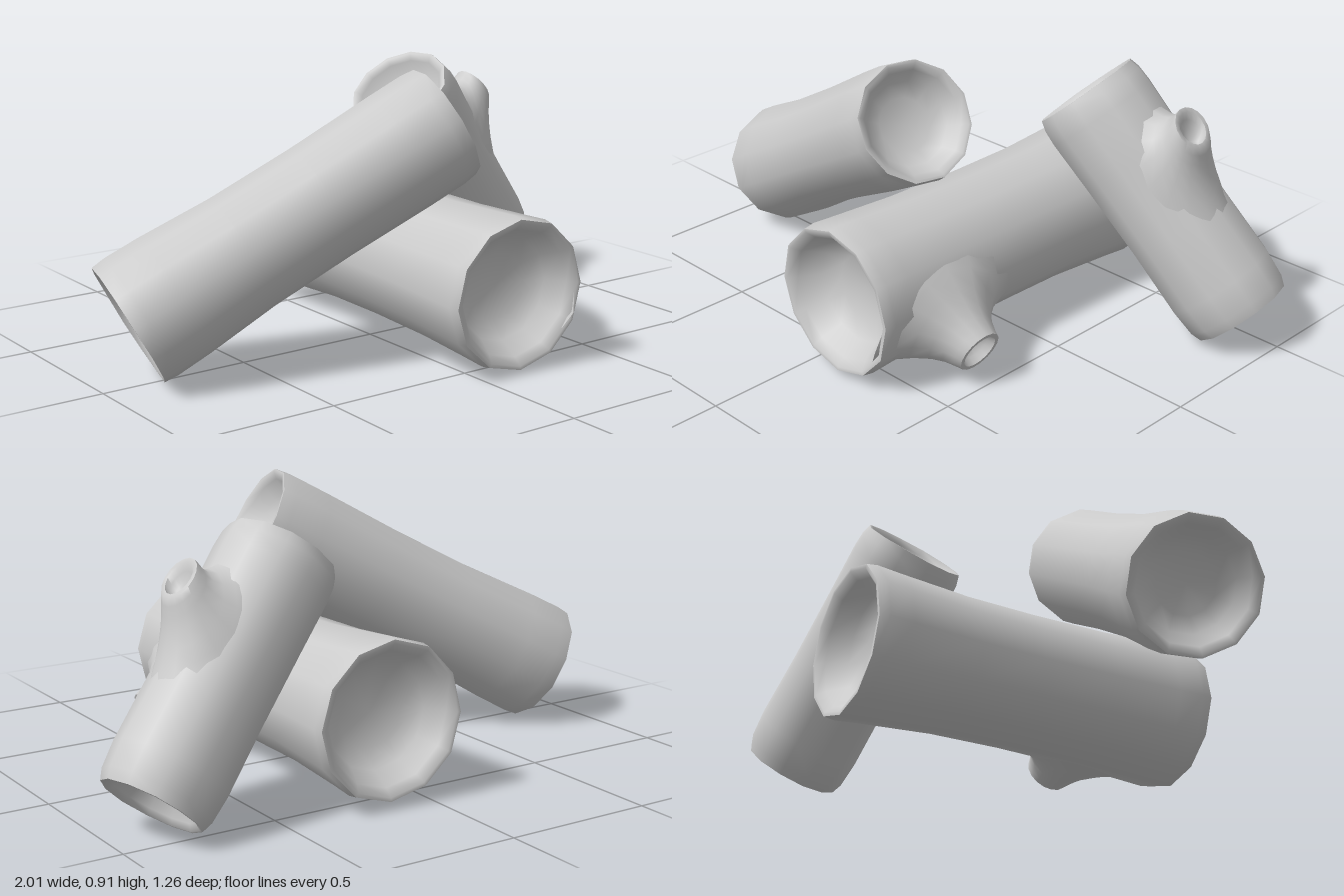
import * as THREE from 'three';
import { toCreasedNormals } from 'three/addons/utils/BufferGeometryUtils.js';

const SIDES = 12;
const V = (x, y, z) => new THREE.Vector3(x, y, z);
const material = new THREE.MeshStandardMaterial({ color: 0xcccccc, side: THREE.DoubleSide });

// Lathe whose vertices are moved by a rule, with smooth bark and crisp rims
function shapedLathe(name, profile, sides, rule) {
  const geometry = new THREE.LatheGeometry(profile.map(([r, y]) => new THREE.Vector2(r, y)), sides);
  const p = geometry.attributes.position;
  for (let i = 0; i < p.count; i++) p.setXYZ(i, ...rule(p.getX(i), p.getY(i), p.getZ(i)));
  const mesh = new THREE.Mesh(toCreasedNormals(geometry, 1), material);
  mesh.name = name;
  return mesh;
}

// Profile of a hollowed end: floor centre out to the rim, as [radius, depth]
function dish(radius, depth) {
  return [[0, depth], [radius * 0.45, depth * 0.95], [radius * 0.7, depth * 0.7],
    [radius * 0.85, depth * 0.2], [radius * 0.95, 0]];
}

// Log from a to b with hollowed ends. radii holds [fraction along, radius]
function trunk(name, a, b, radii, startDepth, endDepth, wobble, seed) {
  const axis = b.clone().sub(a);
  const length = axis.length();
  const profile = [
    ...dish(radii[0][1], startDepth),
    ...radii.map(([t, r]) => [r, t * length]),
    ...dish(radii[radii.length - 1][1], endDepth).reverse().map(([r, d]) => [r, length - d]),
  ];
  // Gentle bumps around the bark and slightly uneven cuts
  const mesh = shapedLathe(name, profile, SIDES, (x, y, z) => {
    const angle = Math.atan2(x, z);
    const s = 1 + wobble * (Math.sin(2 * angle + seed + y * 3) + 0.6 * Math.sin(3 * angle + seed * 2 - y * 4));
    const cut = wobble * 0.6 * Math.hypot(x, z) * Math.sin(4 * angle + seed);
    return [x * s, y + cut, z * s];
  });
  mesh.position.copy(a);
  mesh.quaternion.setFromUnitVectors(V(0, 1, 0), axis.normalize());
  return mesh;
}

// Cut branch flaring out of the log a-b. Its foot drapes over the log's surface (radius R)
// and the rings rise to the tip; profile holds [radius, rise], rise 0 at the bark and 1 at the tip
function branch(name, a, b, footAt, R, tip, profile) {
  const foot = a.clone().lerp(b, footAt);
  const along = b.clone().sub(a).normalize();
  const out = tip.clone().sub(foot);
  const lean = out.dot(along);
  out.addScaledVector(along, -lean);
  const height = out.length();
  out.normalize();
  const mesh = shapedLathe(name, profile, 16, (x, s, z) => {
    const bark = Math.sqrt(Math.max(R * R - z * z, 0));
    const stretch = 1 + 0.45 * (1 - s) ** 2;
    return [x * stretch + lean * s, bark + (height - bark) * s, z];
  });
  mesh.position.copy(foot);
  mesh.quaternion.setFromRotationMatrix(
    new THREE.Matrix4().makeBasis(along, out, along.clone().cross(out)));
  return mesh;
}

export function createModel() {
  const model = new THREE.Group();
  model.name = 'logPile';

  // Long log leaning up towards the middle
  model.add(trunk('leaningLog', V(-0.89, 0.19, -0.03), V(0.11, 0.752, 0.253),
    [[0, 0.208], [0.04, 0.213], [0.14, 0.211], [0.35, 0.197], [0.6, 0.195], [0.85, 0.2], [0.96, 0.2], [1, 0.194]],
    0.09, 0.09, 0.006, 1));

  // Thick log lying front to back, with a cut branch low on its left
  const lying = new THREE.Group();
  lying.name = 'lyingLog';
  const back = V(0.155, 0.28, -0.615), front = V(0.122, 0.262, 0.62);
  lying.add(trunk('lyingTrunk', back, front,
    [[0, 0.25], [0.03, 0.255], [0.1, 0.248], [0.3, 0.232], [0.5, 0.229], [0.72, 0.233], [0.9, 0.244], [0.97, 0.249], [1, 0.243]],
    0.13, 0.13, 0.003, 2.4));
  lying.add(branch('lyingBranch', back, front, 0.777, 0.223, V(0.48, 0.12, 0.342),
    [[0.2, 0], [0.17, 0.1], [0.138, 0.25], [0.112, 0.45], [0.095, 0.65], [0.084, 0.85], [0.076, 1],
      [0.062, 1], [0.054, 0.85], [0.035, 0.68], [0, 0.6]]));
  model.add(lying);

  // Short log leaning the other way, with a small branch on its upper side
  const short = new THREE.Group();
  short.name = 'shortLog';
  const low = V(0.884, 0.108, -0.452), high = V(0.335, 0.765, -0.288);
  short.add(trunk('shortTrunk', low, high,
    [[0, 0.164], [0.04, 0.177], [0.14, 0.184], [0.4, 0.182], [0.7, 0.186], [0.9, 0.19], [0.96, 0.187], [1, 0.177]],
    0.09, 0.09, 0.006, 4));
  short.add(branch('shortBranch', low, high, 0.585, 0.172, V(0.722, 0.735, -0.345),
    [[0.155, 0], [0.136, 0.12], [0.115, 0.28], [0.098, 0.48], [0.086, 0.68], [0.078, 0.87], [0.07, 1],
      [0.055, 1], [0.046, 0.85], [0.03, 0.7], [0, 0.62]]));
  model.add(short);

  return model;
}
